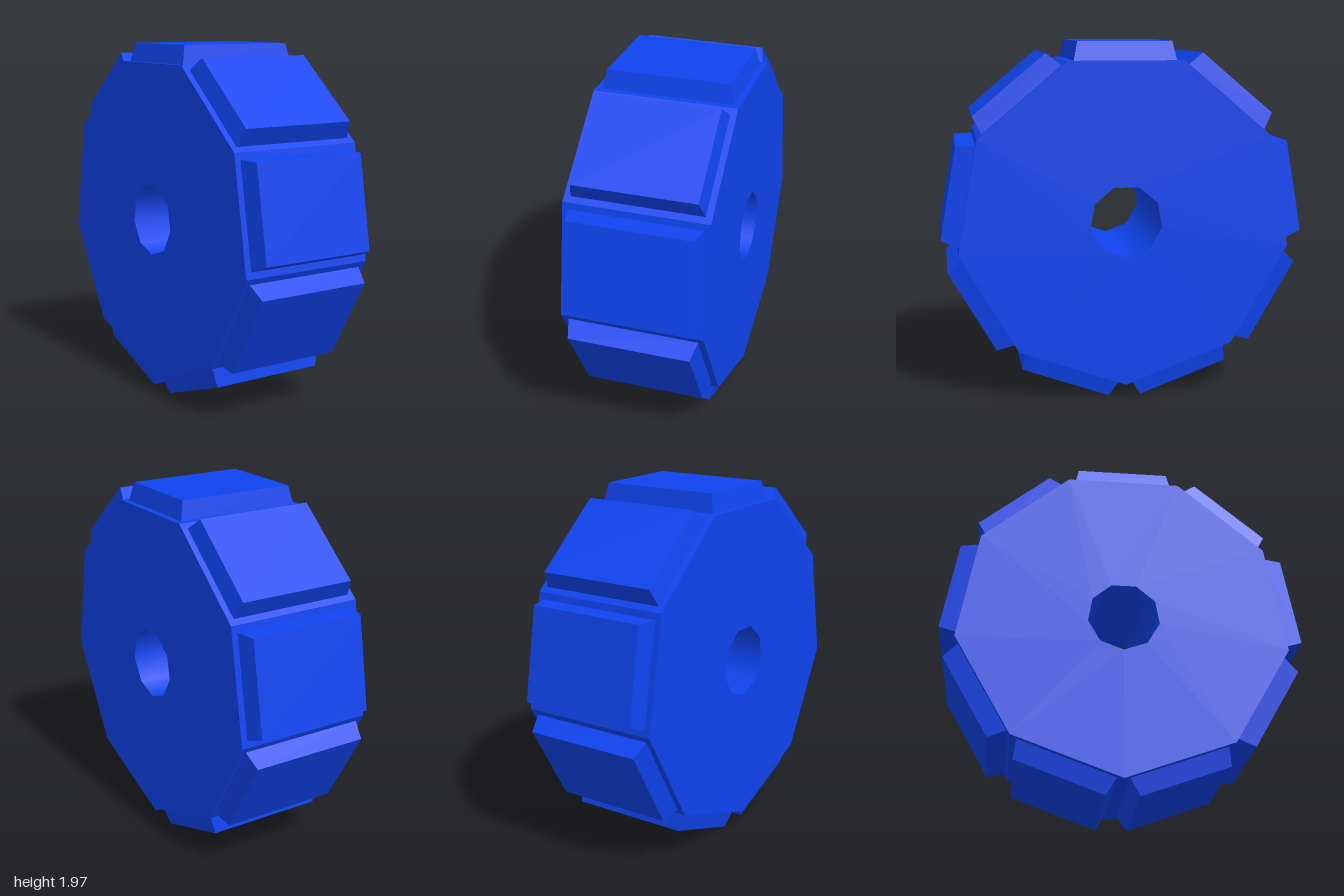
import * as THREE from 'three';

const SIDES = 9;
const RADIUS = 0.923;      // corner radius of the nine-sided hub
const HOLE = 0.2;          // corner radius of the axle hole
const HALF_WIDTH = 0.39;
const START = -Math.PI / 2; // one corner points straight down

export function createModel() {
  const model = new THREE.Group();
  model.name = 'wheel';
  const color = 0x0f44f0;
  const flat = new THREE.MeshStandardMaterial({ color, flatShading: true });
  const inner = new THREE.MeshStandardMaterial({ color, side: THREE.BackSide });

  const wheel = new THREE.Group();
  wheel.name = 'wheelBody';
  wheel.position.y = 1;
  model.add(wheel);

  const add = (name, geometry, material = flat) => {
    const mesh = new THREE.Mesh(geometry, material);
    mesh.name = name;
    wheel.add(mesh);
    return mesh;
  };

  // Open nine-sided tube lying along x
  const tube = (r) => new THREE.CylinderGeometry(
    r, r, HALF_WIDTH * 2, SIDES, 1, true, START).rotateZ(Math.PI / 2);
  add('rim', tube(RADIUS));
  add('axleHole', tube(HOLE), inner);

  // Side faces with the hole left open
  for (const side of [1, -1]) {
    const face = new THREE.RingGeometry(HOLE, RADIUS, SIDES, 1, START);
    face.rotateY(side * Math.PI / 2).translate(side * HALF_WIDTH, 0, 0);
    add(side > 0 ? 'leftFace' : 'rightFace', face);
  }

  // Tread block: a box tapering towards its outer face
  const inside = 0.862, outside = 0.97;
  const block = new THREE.BoxGeometry(0.714, outside - inside, 0.56);
  const p = block.attributes.position;
  for (let i = 0; i < p.count; i++) {
    if (p.getY(i) > 0) {
      p.setX(i, Math.sign(p.getX(i)) * 0.333);
      p.setZ(i, Math.sign(p.getZ(i)) * 0.257);
    }
  }
  block.translate(0, (inside + outside) / 2, 0);
  block.computeVertexNormals();

  // One tread block on each flat of the rim
  for (let i = 0; i < SIDES; i++) {
    add('treadBlock' + (i + 1), block).rotation.x = (i / SIDES) * Math.PI * 2;
  }
  return model;
}
